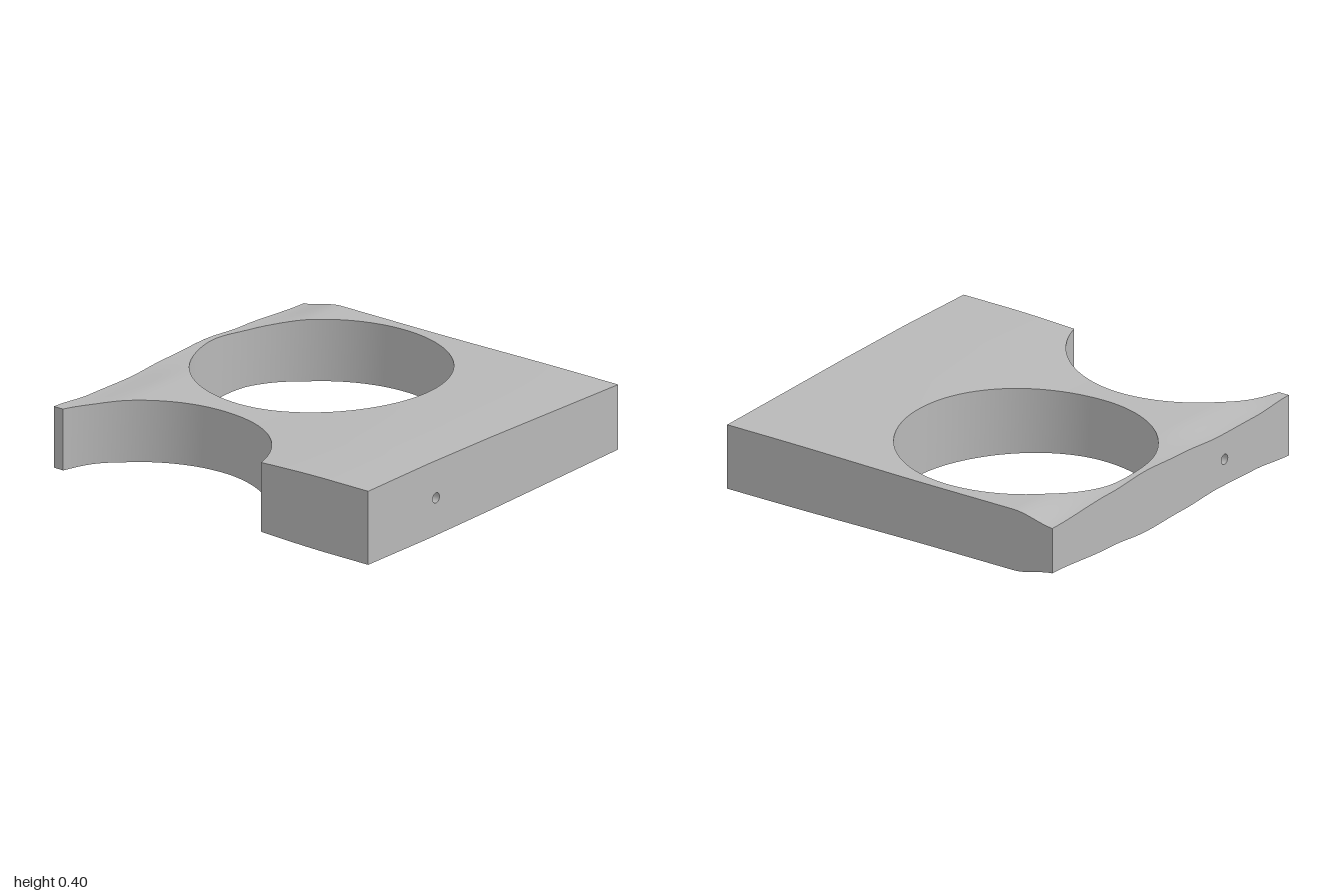
import * as THREE from 'three';
import { toCreasedNormals } from 'three/addons/utils/BufferGeometryUtils.js';

const HALF_X = 0.985, MID_Y = 0.1985;
const R = 0.655, HOLE_X = 0.27, NOTCH_X = -1.165, HOLE_Z = -0.31;
const BORE_X = -0.45, BORE_R = 0.027;

// Half-thickness along the front and back edges, as [x, half height]
const FRONT = [[-0.985, 0.195], [-0.5, 0.1985], [0, 0.193], [0.985, 0.172]];
const BACK = [[-0.985, 0.162], [-0.7, 0.142], [-0.4, 0.138], [-0.1, 0.154],
  [0.2, 0.164], [0.5, 0.145], [0.985, 0.12]];

function sample(points, x, smooth) {
  let i = 0;
  while (i < points.length - 2 && x > points[i + 1][0]) i++;
  const [a, b] = [points[i], points[i + 1]];
  let t = THREE.MathUtils.clamp((x - a[0]) / (b[0] - a[0]), 0, 1);
  if (smooth) t = t * t * (3 - 2 * t);
  return a[1] + (b[1] - a[1]) * t;
}

// Thick at the front, even in the middle, wavy along the back edge
function halfHeight(x, z) {
  const front = THREE.MathUtils.smoothstep(z, -0.3, 0.75);
  const back = 1 - THREE.MathUtils.smoothstep(z, -1.02, -0.76);
  let h = THREE.MathUtils.lerp(0.164, sample(FRONT, x, false), front);
  return THREE.MathUtils.lerp(h, sample(BACK, x, true), back);
}

// Rows across the plate follow the samples of the two round cut-outs
function rowPositions() {
  const rows = [-1, -0.982];
  for (let i = 0; i <= 64; i++) rows.push(HOLE_Z - R * Math.cos((i / 64) * Math.PI));
  const corner = Math.sqrt(R * R - (HALF_X + NOTCH_X) ** 2);
  rows.push(HOLE_Z - corner, HOLE_Z + corner);
  for (let i = 1; i <= 14; i++) rows.push(HOLE_Z + R + (i / 14) * (1 - HOLE_Z - R));
  return rows.sort((a, b) => a - b);
}

const halfChord = (z) => {
  const d = R * R - (z - HOLE_Z) ** 2;
  return d > 1e-7 ? Math.sqrt(d) : 0;
};

// The two solid spans of a row: left of the round hole and right of it
const spans = (z) => {
  const w = halfChord(z);
  return [[Math.max(-HALF_X, NOTCH_X + w), HOLE_X - w], [HOLE_X + w, HALF_X]];
};

function quad(out, a, b, c, d) {
  out.push(...a, ...b, ...c, ...a, ...c, ...d);
}

function toGeometry(out) {
  const g = new THREE.BufferGeometry();
  g.setAttribute('position', new THREE.Float32BufferAttribute(out, 3));
  return toCreasedNormals(g, 0.6);
}

export function createModel() {
  const group = new THREE.Group();
  const grey = new THREE.MeshStandardMaterial({ color: 0xb8b8b8, side: THREE.DoubleSide });
  grey.name = 'grey';
  const add = (name, geometry) => {
    const mesh = new THREE.Mesh(geometry, grey);
    mesh.name = name;
    group.add(mesh);
    return mesh;
  };
  const point = (x, z, side) => [x, MID_Y + side * halfHeight(x, z), z];

  const top = [], bottom = [], outer = [], hole = [];
  const rows = rowPositions(), N = 32;
  for (let r = 0; r < rows.length - 1; r++) {
    const z0 = rows[r], z1 = rows[r + 1];
    const s0 = spans(z0), s1 = spans(z1);
    const open = halfChord(z0) + halfChord(z1) > 0;
    for (let k = 0; k < 2; k++) {
      const x0 = (t) => THREE.MathUtils.lerp(s0[k][0], s0[k][1], t);
      const x1 = (t) => THREE.MathUtils.lerp(s1[k][0], s1[k][1], t);
      // Upper and lower skins
      for (let i = 0; i < N; i++) {
        const t = i / N, u = (i + 1) / N;
        quad(top, point(x0(t), z0, 1), point(x1(t), z1, 1),
          point(x1(u), z1, 1), point(x0(u), z0, 1));
        quad(bottom, point(x0(t), z0, -1), point(x0(u), z0, -1),
          point(x1(u), z1, -1), point(x1(t), z1, -1));
      }
      // Upright walls at both ends of the span
      for (const end of [0, 1]) {
        const inner = k !== end;
        if (inner && !open) continue;
        const [za, xa, zb, xb] = end ? [z1, x1(1), z0, x0(1)] : [z0, x0(0), z1, x1(0)];
        quad(inner ? hole : outer, point(xa, za, -1), point(xb, zb, -1),
          point(xb, zb, 1), point(xa, za, 1));
      }
    }
  }
  add('topSkin', toGeometry(top));
  add('bottomSkin', toGeometry(bottom));
  add('sideAndNotchWalls', toGeometry(outer));
  add('roundHoleWall', toGeometry(hole));

  // Front and back faces, pierced by the small bore
  for (const [name, z] of [['frontFace', 1], ['backFace', -1]]) {
    const upper = [], lower = [];
    for (let i = 0; i <= 64; i++) {
      const x = z * HALF_X * (i / 32 - 1), h = halfHeight(x, z);
      lower.push(new THREE.Vector2(x * z, MID_Y - h));
      upper.unshift(new THREE.Vector2(x * z, MID_Y + h));
    }
    const shape = new THREE.Shape([...lower, ...upper]);
    shape.holes.push(new THREE.Path().absarc(BORE_X * z, MID_Y, BORE_R, 0, Math.PI * 2, true));
    const geometry = new THREE.ShapeGeometry(shape, 12);
    if (z < 0) geometry.rotateY(Math.PI);
    geometry.translate(0, 0, z);
    add(name, geometry);
  }

  // Bore running through the web between the two cut-outs
  const bore = new THREE.CylinderGeometry(BORE_R, BORE_R, 2, 24, 1, true);
  bore.rotateX(Math.PI / 2).translate(BORE_X, MID_Y, 0);
  add('bore', bore);
  return group;
}
